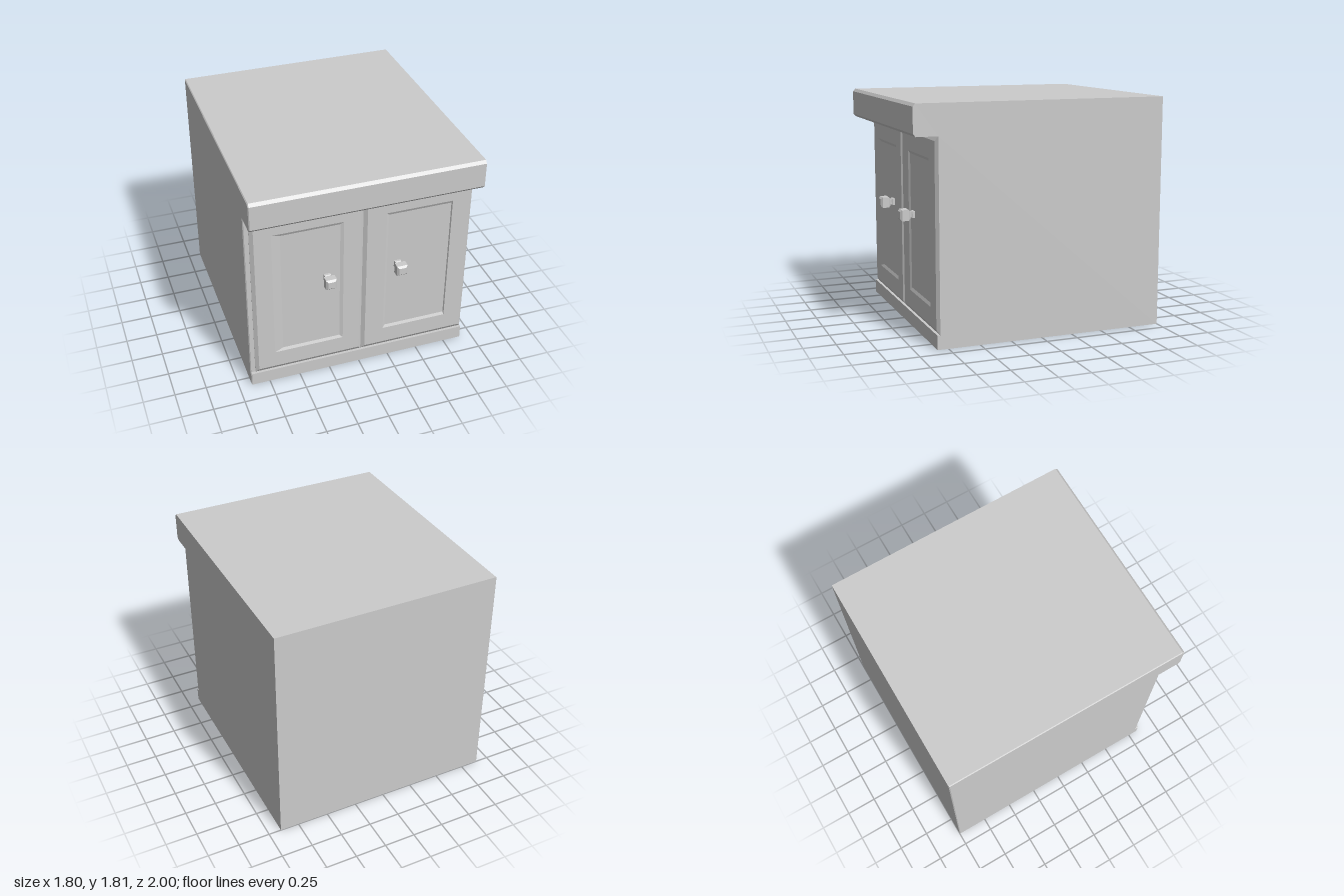
import * as THREE from 'three';

// Skins a stack of equal-length rings (counter-clockwise seen from +z), flat shaded.
function loft(rings, capStart, capEnd) {
  const pos = [];
  const tri = (...pts) => pts.forEach((p) => pos.push(...p));
  const n = rings[0].length;
  for (let i = 0; i < rings.length - 1; i++) {
    for (let j = 0; j < n; j++) {
      const k = (j + 1) % n;
      const a = rings[i][j], b = rings[i][k], c = rings[i + 1][k], d = rings[i + 1][j];
      tri(a, b, c);
      tri(a, c, d);
    }
  }
  const cap = (ring, flip) => {
    const contour = ring.map((p) => new THREE.Vector2(p[0], p[1]));
    for (const [a, b, c] of THREE.ShapeUtils.triangulateShape(contour, [])) {
      if (flip) tri(ring[a], ring[c], ring[b]);
      else tri(ring[a], ring[b], ring[c]);
    }
  };
  if (capStart) cap(rings[0], true);
  if (capEnd) cap(rings[rings.length - 1], false);
  const geo = new THREE.BufferGeometry();
  geo.setAttribute('position', new THREE.Float32BufferAttribute(pos, 3));
  geo.computeVertexNormals();
  return geo;
}

const rect = (x0, x1, y0, y1, z) => [[x0, y0, z], [x1, y0, z], [x1, y1, z], [x0, y1, z]];
const square = (h, z) => rect(-h, h, -h, h, z);

// Moves every edge of a counter-clockwise outline inward by d.
function inset(pts, d) {
  return pts.map((p, i) => {
    const v = (q) => new THREE.Vector2(q[0], q[1]);
    const here = v(p);
    const e1 = here.clone().sub(v(pts[(i + pts.length - 1) % pts.length])).normalize();
    const e2 = v(pts[(i + 1) % pts.length]).sub(here).normalize();
    const n1 = new THREE.Vector2(-e1.y, e1.x), n2 = new THREE.Vector2(-e2.y, e2.x);
    const m = n1.clone().add(n2).multiplyScalar(d / (1 + n1.dot(n2)));
    return [p[0] + m.x, p[1] + m.y];
  });
}

export function createModel() {
  const group = new THREE.Group();
  const material = new THREE.MeshStandardMaterial({ color: 0xcccccc, flatShading: true });
  const add = (name, geo, parent = group) => {
    const mesh = new THREE.Mesh(geo, material);
    mesh.name = name;
    parent.add(mesh);
    return mesh;
  };

  // Carcass: side outline (z, y) with plinth and overhanging top, chamfered on the -x side
  const outline = [
    [-1, 0], [0.835, 0], [0.835, 0.11], [0.81, 0.11], [0.81, 1.575],
    [0.98, 1.575], [1, 1.597], [1, 1.79], [0.98, 1.812], [-1, 1.812],
  ];
  const at = (pts, w) => pts.map(([u, v]) => [u, v, w]);
  const carcass = loft([at(outline, -0.9), at(outline, 0.893), at(inset(outline, 0.007), 0.9)], true, true);
  carcass.rotateY(-Math.PI / 2);
  add('carcass', carcass);

  // Doors: bevelled slab with a shallow recessed panel, plus a knob
  const doors = [
    { name: 'rightDoor', x: [-0.86, 0.02], outer: [-0.70, -0.14], inner: [-0.63, -0.165], knob: [-0.27, 0.92] },
    { name: 'leftDoor', x: [0.02, 0.9], outer: [0.2, 0.735], inner: [0.22, 0.729], knob: [0.303, 0.912] },
  ];
  for (const { name, x, outer, inner, knob } of doors) {
    const door = new THREE.Group();
    door.name = name;
    group.add(door);
    add('doorPanel', loft([
      rect(...x, 0.11, 1.575, 0.81),
      rect(...x, 0.11, 1.575, 0.813),
      rect(x[0] + 0.027, x[1] - 0.027, 0.145, 1.54, 0.835),
      rect(...outer, 0.285, 1.4, 0.835),
      rect(...inner, 0.308, 1.377, 0.824),
    ], false, true), door);

    // Square stem and faceted knob head
    const handle = new THREE.Group();
    handle.name = 'knob';
    handle.position.set(knob[0], knob[1], 0);
    door.add(handle);
    add('knobStem', loft([square(0.026, 0.82), square(0.026, 0.842), square(0.021, 0.85), square(0.021, 0.875)], false, true), handle);
    add('knobHead', loft([
      square(0.028, 0.862), square(0.043, 0.878), square(0.043, 0.93), square(0.028, 0.945),
    ], true, true), handle);
  }
  return group;
}
